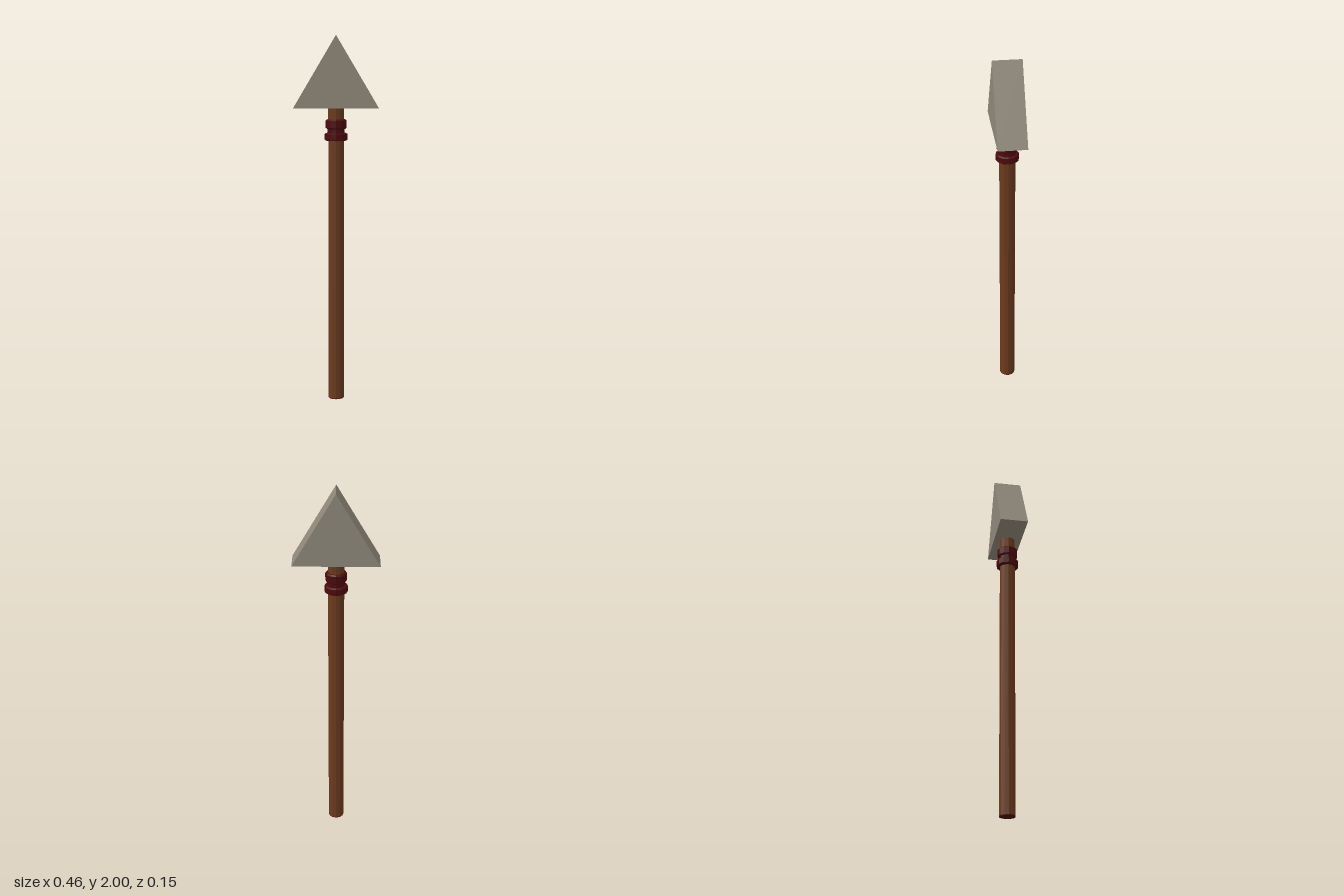
import * as THREE from 'three';

export function createModel() {
  const group = new THREE.Group();
  const material = (name, color) => {
    const m = new THREE.MeshStandardMaterial({ color, flatShading: true });
    m.name = name;
    return m;
  };
  const stone = material('grey stone', 0x8f887a);
  const wood = material('brown wood', 0x6b3a1e);
  const cord = material('dark red cord', 0x4c0a0c);

  const add = (name, geometry, mat, y = 0) => {
    const mesh = new THREE.Mesh(geometry, mat);
    mesh.name = name;
    mesh.position.y = y;
    group.add(mesh);
  };

  // Wooden shaft with a dark butt end
  const top = 1.615, radius = 0.043, sides = 12;
  add('shaft', new THREE.CylinderGeometry(radius, radius, top - 0.004, sides), wood, (top + 0.004) / 2);
  add('buttCap', new THREE.CylinderGeometry(radius, radius, 0.004, sides), cord, 0.002);

  // Bands of cord tied below the head
  const band = (outer, half) => new THREE.LatheGeometry([
    [0.04, -half], [outer - 0.008, -half], [outer, -half * 0.75],
    [outer, half * 0.75], [outer - 0.008, half], [0.04, half],
  ].map(([r, y]) => new THREE.Vector2(r, y)), sides);
  add('lowerBand', band(0.062, 0.021), cord, 1.459);
  add('upperBand', band(0.057, 0.026), cord, 1.527);
  add('bandJoin', new THREE.CylinderGeometry(0.046, 0.046, 0.03, sides), cord, 1.49);

  // Triangular prism spearhead
  const outline = new THREE.Shape([
    new THREE.Vector2(-0.23, 1.613),
    new THREE.Vector2(0.23, 1.613),
    new THREE.Vector2(0, 2),
  ]);
  const head = new THREE.ExtrudeGeometry(outline, { depth: 0.154, bevelEnabled: false });
  head.translate(0, 0, -0.077);
  add('spearhead', head, stone);

  return group;
}
